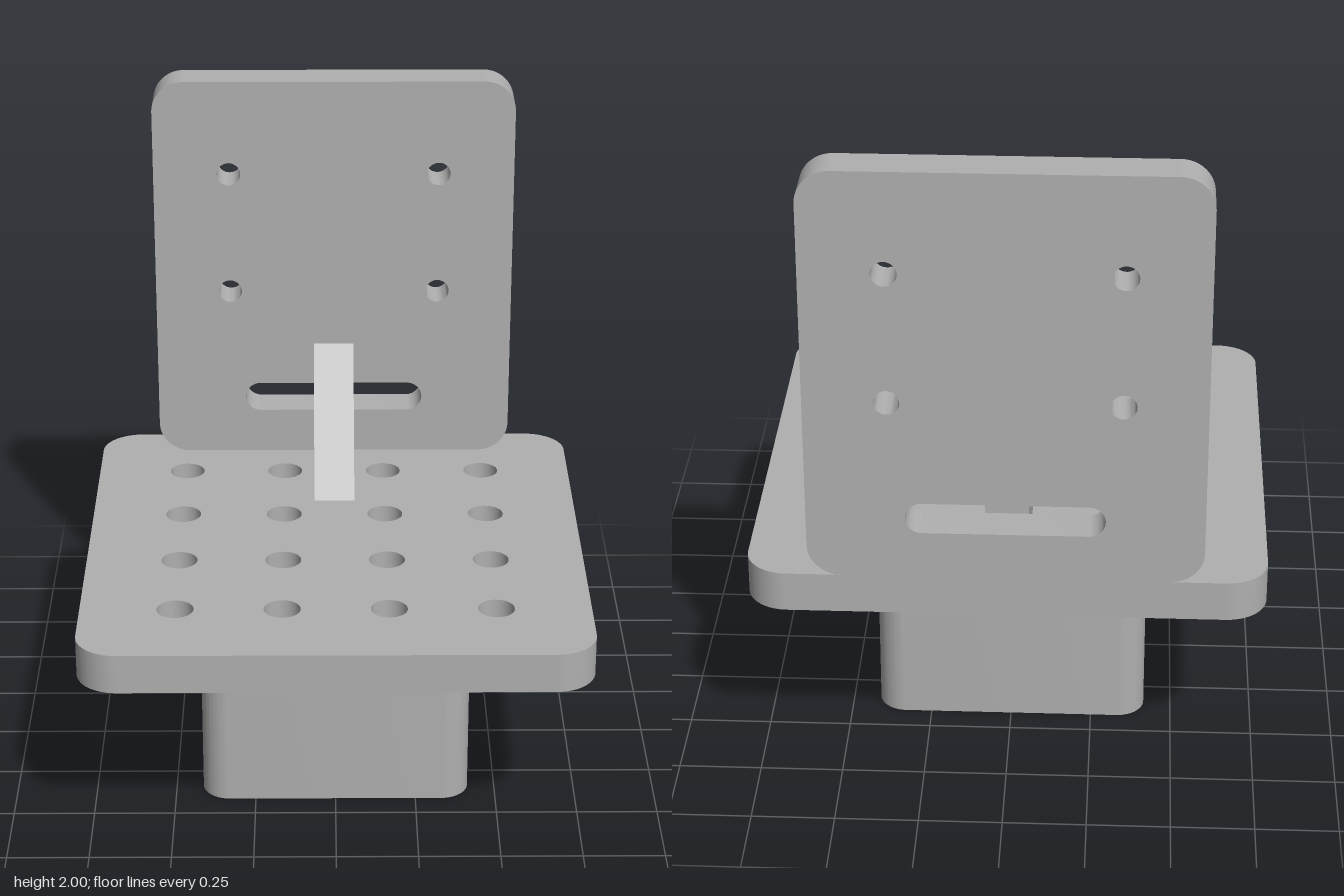
import * as THREE from 'three';
import { toCreasedNormals } from 'three/addons/utils/BufferGeometryUtils.js';

// Rounded rectangle centred on the origin; also serves as a slot outline
function roundedRect(target, w, h, r, cx = 0, cy = 0) {
  const x = w / 2 - r, y = h / 2 - r;
  target.absarc(cx + x, cy + y, r, 0, Math.PI / 2);
  target.absarc(cx - x, cy + y, r, Math.PI / 2, Math.PI);
  target.absarc(cx - x, cy - y, r, Math.PI, Math.PI * 1.5);
  target.absarc(cx + x, cy - y, r, Math.PI * 1.5, Math.PI * 2);
  target.closePath();
  return target;
}

function roundHole(x, y, r) {
  return new THREE.Path().absarc(x, y, r, 0, Math.PI * 2, true);
}

function extrude(shape, depth) {
  const geometry = new THREE.ExtrudeGeometry(shape, { depth, bevelEnabled: false, curveSegments: 16 });
  return toCreasedNormals(geometry, 0.6);
}

export function createModel() {
  const model = new THREE.Group();
  model.name = 'mountingBracket';
  const grey = new THREE.MeshStandardMaterial({ color: 0xb0b0b0 });
  grey.name = 'grey';

  const add = (name, geometry, x = 0, y = 0, z = 0) => {
    const mesh = new THREE.Mesh(geometry, grey);
    mesh.name = name;
    mesh.position.set(x, y, z);
    model.add(mesh);
  };

  const capY = 0.5, plateY = 0.585, plateTop = 0.71;
  const half = 0.773, backFront = -0.647;

  // Square socket, open at the bottom and closed under the base plate
  const socket = roundedRect(new THREE.Shape(), 0.832, 0.832, 0.085);
  const bore = new THREE.Path();
  bore.moveTo(-0.33, -0.33).lineTo(-0.33, 0.33).lineTo(0.33, 0.33).lineTo(0.33, -0.33).closePath();
  socket.holes.push(bore);
  add('socketWall', extrude(socket, capY).rotateX(-Math.PI / 2));
  const cap = roundedRect(new THREE.Shape(), 0.832, 0.832, 0.085);
  add('socketCap', extrude(cap, plateY - capY).rotateX(-Math.PI / 2), 0, capY);

  // Base plate with a four by four grid of holes
  const base = roundedRect(new THREE.Shape(), half * 2, half * 2, 0.125);
  for (let i = 0; i < 4; i++) {
    for (let j = 0; j < 4; j++) {
      base.holes.push(roundHole((i - 1.5) * 0.323, (j - 1.5) * 0.323, 0.056));
    }
  }
  add('basePlate', extrude(base, plateTop - plateY).rotateX(-Math.PI / 2), 0, plateY);

  // Upright back plate with four screw holes and a slot
  const midY = (plateTop + 2) / 2;
  const back = roundedRect(new THREE.Shape(), 1.164, 2 - plateTop, 0.1, 0, midY);
  for (const x of [-0.339, 0.339]) {
    for (const y of [1.285, 1.69]) back.holes.push(roundHole(x, y, 0.038));
  }
  back.holes.push(roundedRect(new THREE.Path(), 0.584, 0.098, 0.0489, 0, 0.907));
  add('backPlate', extrude(back, half + backFront), 0, 0, -half);

  // Triangular gusset between base and back plate
  const rib = new THREE.Shape();
  rib.moveTo(0, 0).lineTo(0.388, 0).lineTo(0, 0.388).closePath();
  const ribGeometry = extrude(rib, 0.13).translate(0, 0, -0.065).rotateY(-Math.PI / 2);
  add('gusset', ribGeometry, 0, plateTop, backFront);

  return model;
}
